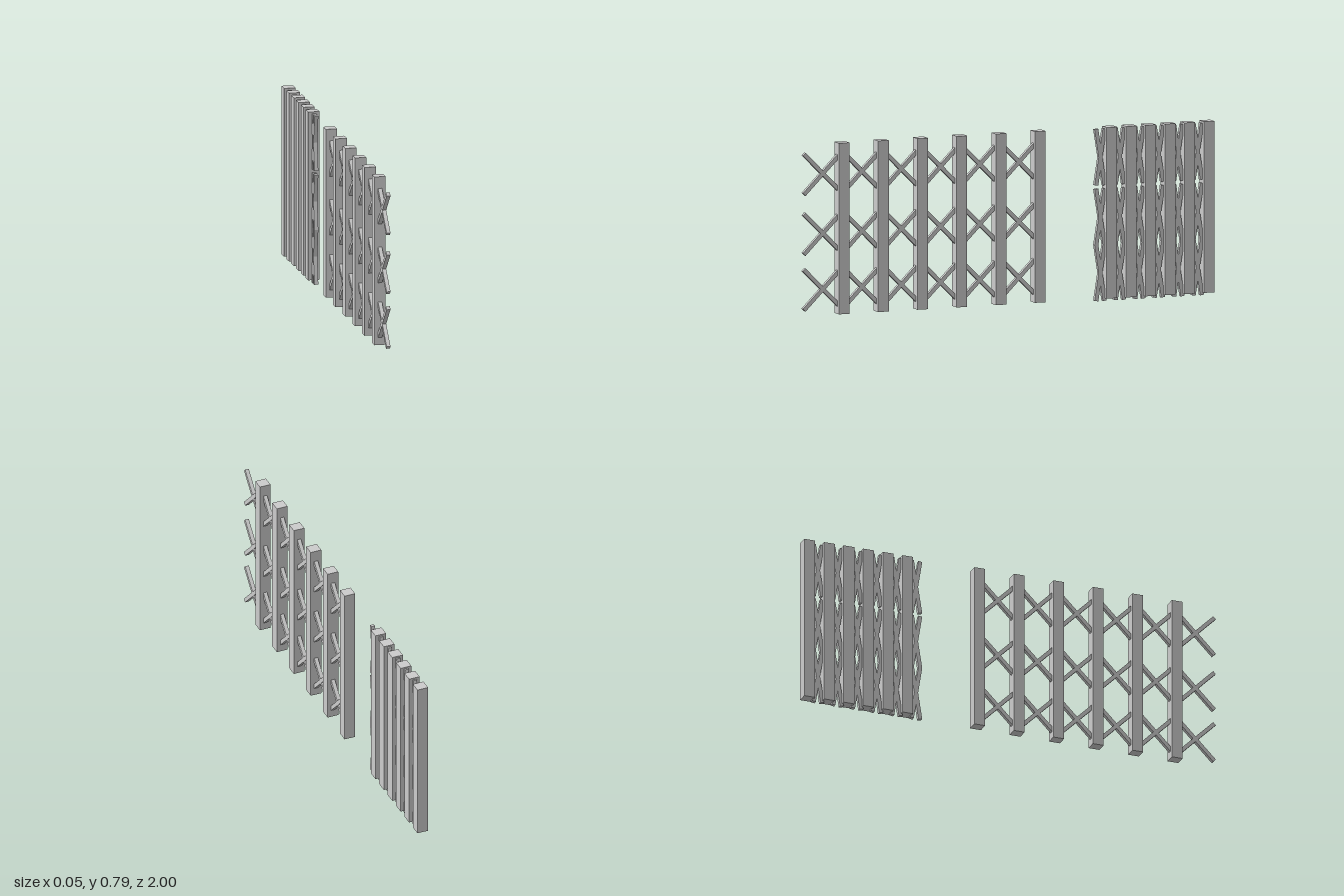
import * as THREE from 'three';

const material = new THREE.MeshStandardMaterial({ color: 0xcccccc, flatShading: true });
const POST = { width: 0.052, bottom: 0.015, top: 0.793 };
const BAR = { length: 0.259, thick: 0.018 };
const ROWS = [0.1315, 0.385, 0.657];

function box(name, w, h, d, y, z, tilt = 0) {
  const mesh = new THREE.Mesh(new THREE.BoxGeometry(w, h, d), material);
  mesh.name = name;
  mesh.position.set(0, y, z);
  mesh.rotation.x = tilt;
  return mesh;
}

// A row of posts, each with three crossed bar pairs on its front side
function latticeSection(name, frontZ, pitch, tilt) {
  const section = new THREE.Group();
  section.name = name;
  const height = POST.top - POST.bottom;
  for (let i = 0; i < 6; i++) {
    const z = frontZ - i * pitch;
    section.add(box('post', POST.width, height, POST.width, POST.bottom + height / 2, z));
    for (const y of ROWS) {
      const cross = new THREE.Group();
      cross.name = 'crossedBars';
      for (const side of [-1, 1]) {
        cross.add(box('bar', BAR.thick, BAR.length, BAR.thick, y, z + pitch / 2, side * tilt));
      }
      section.add(cross);
    }
  }
  return section;
}

export function createModel() {
  const model = new THREE.Group();
  model.name = 'foldingLatticeGate';
  // Extended half in front, folded half behind
  model.add(latticeSection('extendedSection', 0.803, 0.191, Math.PI / 4));
  model.add(latticeSection('foldedSection', -0.5, 0.0948, THREE.MathUtils.degToRad(9)));
  return model;
}
